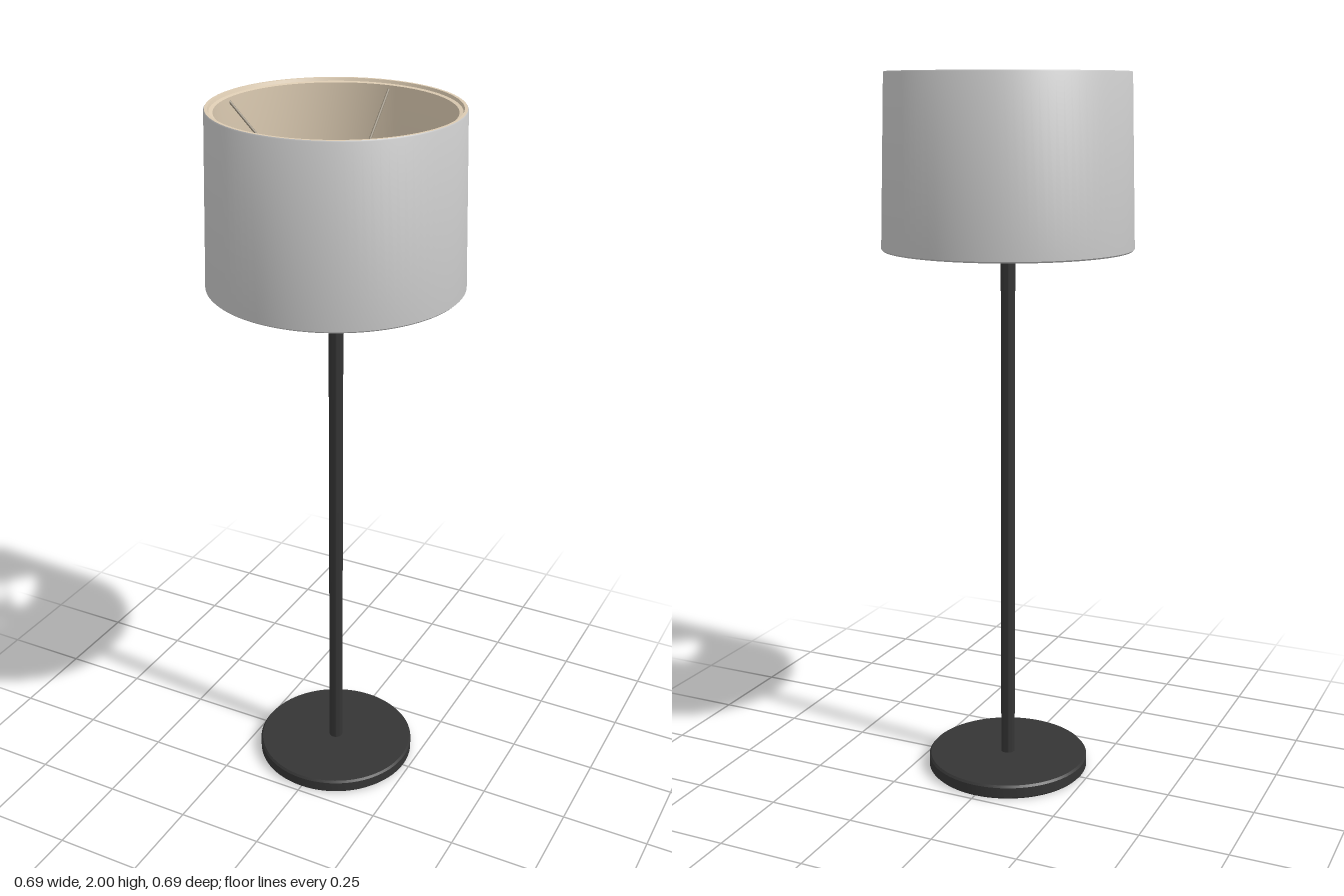
import * as THREE from 'three';
import { toCreasedNormals } from 'three/addons/utils/BufferGeometryUtils.js';

const material = (name, color) => {
  const m = new THREE.MeshStandardMaterial({ color });
  m.name = name;
  return m;
};

export function createModel() {
  const lamp = new THREE.Group();
  lamp.name = 'floorLamp';
  const black = material('blackMetal', 0x353535);
  const grey = material('greyFabric', 0xc6c6c6);
  const cream = material('creamLining', 0xdccbb2);
  const wire = material('wireMetal', 0x958b7a);

  const add = (name, geometry, mat, parent = lamp) => {
    const mesh = new THREE.Mesh(geometry, mat);
    mesh.name = name;
    parent.add(mesh);
    return mesh;
  };
  // Turned part from [radius, height] points; outer walls run upward
  const turned = (name, points, mat, segments = 64) => add(name, toCreasedNormals(
    new THREE.LatheGeometry(points.map(([r, y]) => new THREE.Vector2(r, y)), segments), 0.6), mat);
  // Round rod between two points
  const rod = (name, a, b, radius, mat, parent) => {
    const dir = b.clone().sub(a);
    const mesh = add(name, new THREE.CylinderGeometry(radius, radius, dir.length(), 12), mat, parent);
    mesh.position.copy(a).add(b).multiplyScalar(0.5);
    mesh.quaternion.setFromUnitVectors(new THREE.Vector3(0, 1, 0), dir.normalize());
    return mesh;
  };

  // Weighted disc base and pole
  turned('base', [[0, 0], [0.228, 0], [0.233, 0.005], [0.233, 0.034], [0.228, 0.04], [0, 0.04]], black, 96);
  turned('pole', [[0.02, 0.038], [0.02, 1.56]], black, 32);

  // Bulb holder: narrow collar, wider body and rounded top
  const holder = [[0, 1.535], [0.042, 1.535], [0.047, 1.54], [0.047, 1.575], [0.055, 1.58],
    [0.055, 1.592], [0.05, 1.597], [0.05, 1.66], [0.056, 1.665], [0.056, 1.685], [0.052, 1.69]];
  for (let i = 0; i <= 10; i++) {
    const a = (i / 10) * Math.PI / 2;
    holder.push([i === 10 ? 0 : 0.052 * Math.cos(a), 1.715 + 0.052 * Math.sin(a)]);
  }
  turned('bulbHolder', holder, black, 40);

  // Shade: outer skin with bottom edge, then top rim with inner lining
  turned('shadeOuter', [[0.313, 1.528], [0.342, 1.528], [0.346, 1.532], [0.332, 1.997], [0.33, 2]], grey, 96);
  turned('shadeLining', [[0.33, 2], [0.322, 2], [0.319, 1.992], [0.309, 1.99], [0.31, 1.54], [0.313, 1.528]], cream, 96);

  // Four sloping spokes with clamps at the holder
  for (let i = 0; i < 4; i++) {
    const arm = new THREE.Group();
    arm.name = 'spokeArm' + (i + 1);
    arm.rotation.y = i * Math.PI / 2;
    lamp.add(arm);
    const v = (x, y) => new THREE.Vector3(x, y, 0);
    rod('spoke', v(0.06, 1.735), v(0.312, 1.98), 0.0035, wire, arm);
    rod('clamp', v(0.04, 1.705), v(0.088, 1.752), 0.01, black, arm);
    rod('screw', v(0.045, 1.625), v(0.068, 1.625), 0.006, black, arm);
    const knob = add('screwHead', new THREE.SphereGeometry(0.01, 12, 8), black, arm);
    knob.position.set(0.068, 1.625, 0);
  }
  return lamp;
}
